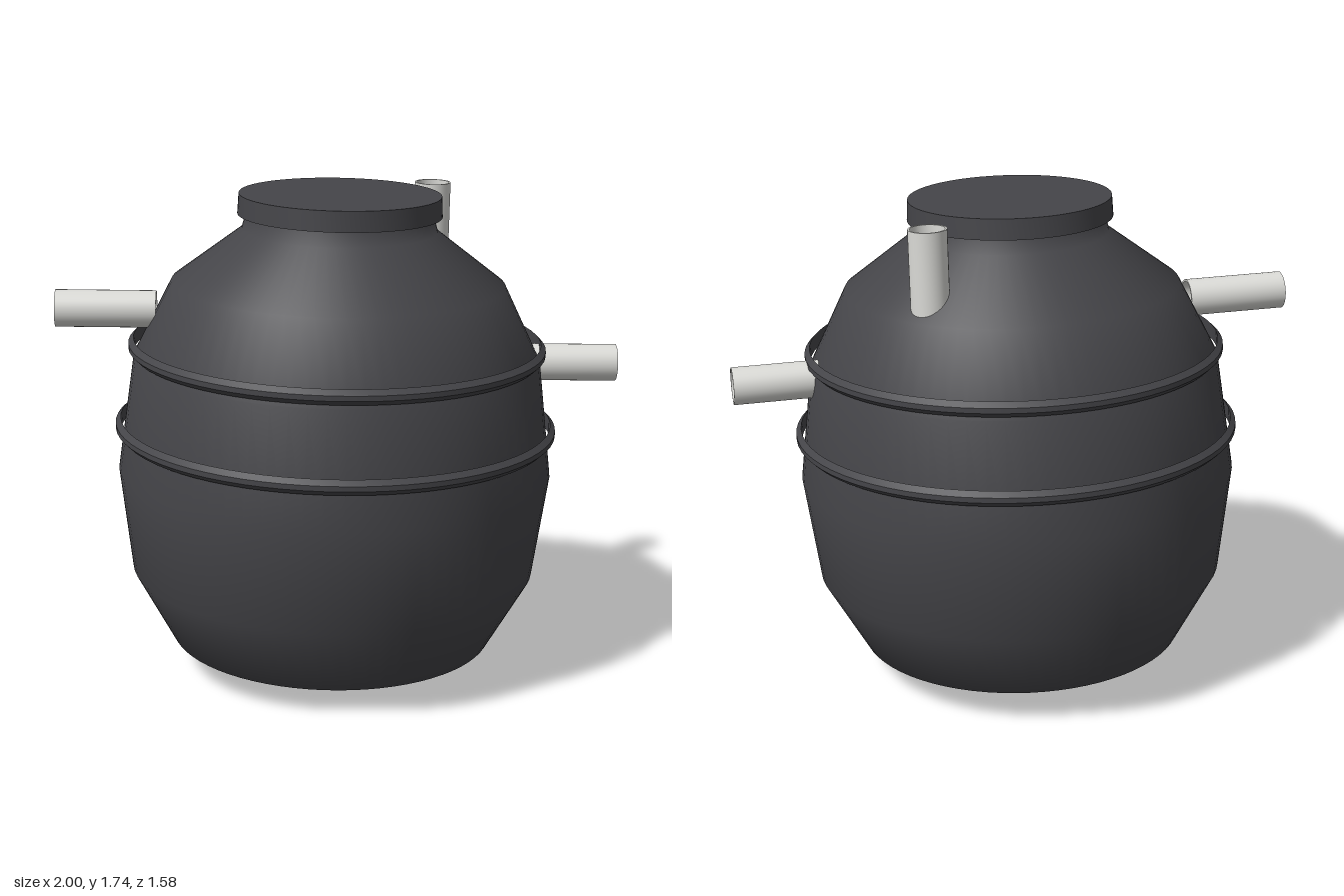
import * as THREE from 'three';
import { toCreasedNormals } from 'three/addons/utils/BufferGeometryUtils.js';

const darkPlastic = new THREE.MeshStandardMaterial({ color: 0x454549 });
darkPlastic.name = 'dark plastic';
const palePipe = new THREE.MeshStandardMaterial({ color: 0xdadad6 });
palePipe.name = 'pale pipe';

// Turned solid from [radius, height] pairs, listed counterclockwise
function turned(name, profile, material, segments, sharp = true) {
  const points = profile.map(([r, y]) => new THREE.Vector2(r, y));
  let geometry = new THREE.LatheGeometry(points, segments);
  if (sharp) geometry = toCreasedNormals(geometry, 0.4);
  const mesh = new THREE.Mesh(geometry, material);
  mesh.name = name;
  return mesh;
}

// Thin-walled open pipe standing on its own origin
function pipe(name, length) {
  const outer = 0.066, inner = 0.059;
  return turned(name, [
    [inner, 0], [outer, 0], [outer, length], [inner, length], [inner, 0],
  ], palePipe, 32);
}

// Reinforcing hoop with bevelled outer edges, just clear of the wall
function hoop(name, radius, y) {
  const inner = radius - 0.018;
  const mesh = turned(name, [
    [inner, -0.027], [radius, -0.009], [radius, 0.009], [inner, 0.027], [inner, -0.027],
  ], darkPlastic, 72);
  mesh.position.y = y;
  return mesh;
}

export function createModel() {
  const model = new THREE.Group();
  model.name = 'tank';

  // The whole tank leans slightly
  const leaning = new THREE.Group();
  leaning.name = 'leaningTank';
  leaning.rotation.set(0.031, 0, -0.02);
  leaning.position.set(-0.026, 0.013, -0.028);
  model.add(leaning);

  // Rounded vessel with shoulder and neck
  leaning.add(turned('vessel', [
    [0, 0], [0.345, 0], [0.585, 0.097], [0.73, 0.36], [0.778, 0.73],
    [0.724, 1.14], [0.59, 1.41], [0.345, 1.595], [0.328, 1.66],
  ], darkPlastic, 72, false));

  // Flat lid overhanging the neck
  leaning.add(turned('lid', [
    [0, 1.648], [0.36, 1.648], [0.356, 1.72], [0, 1.72],
  ], darkPlastic, 72));

  leaning.add(hoop('upperHoop', 0.742, 1.18));
  leaning.add(hoop('lowerHoop', 0.789, 0.89));

  // Inlet and outlet on opposite sides, vent on the shoulder
  const inlet = pipe('inletPipe', 0.355);
  inlet.rotation.z = Math.PI / 2;
  inlet.position.set(-0.643, 1.3, 0);
  const outlet = pipe('outletPipe', 0.308);
  outlet.rotation.z = -Math.PI / 2;
  outlet.position.set(0.695, 1.122, 0);
  const vent = pipe('ventPipe', 0.31);
  vent.position.set(0.356, 1.4, -0.355);
  leaning.add(inlet, outlet, vent);

  return model;
}
